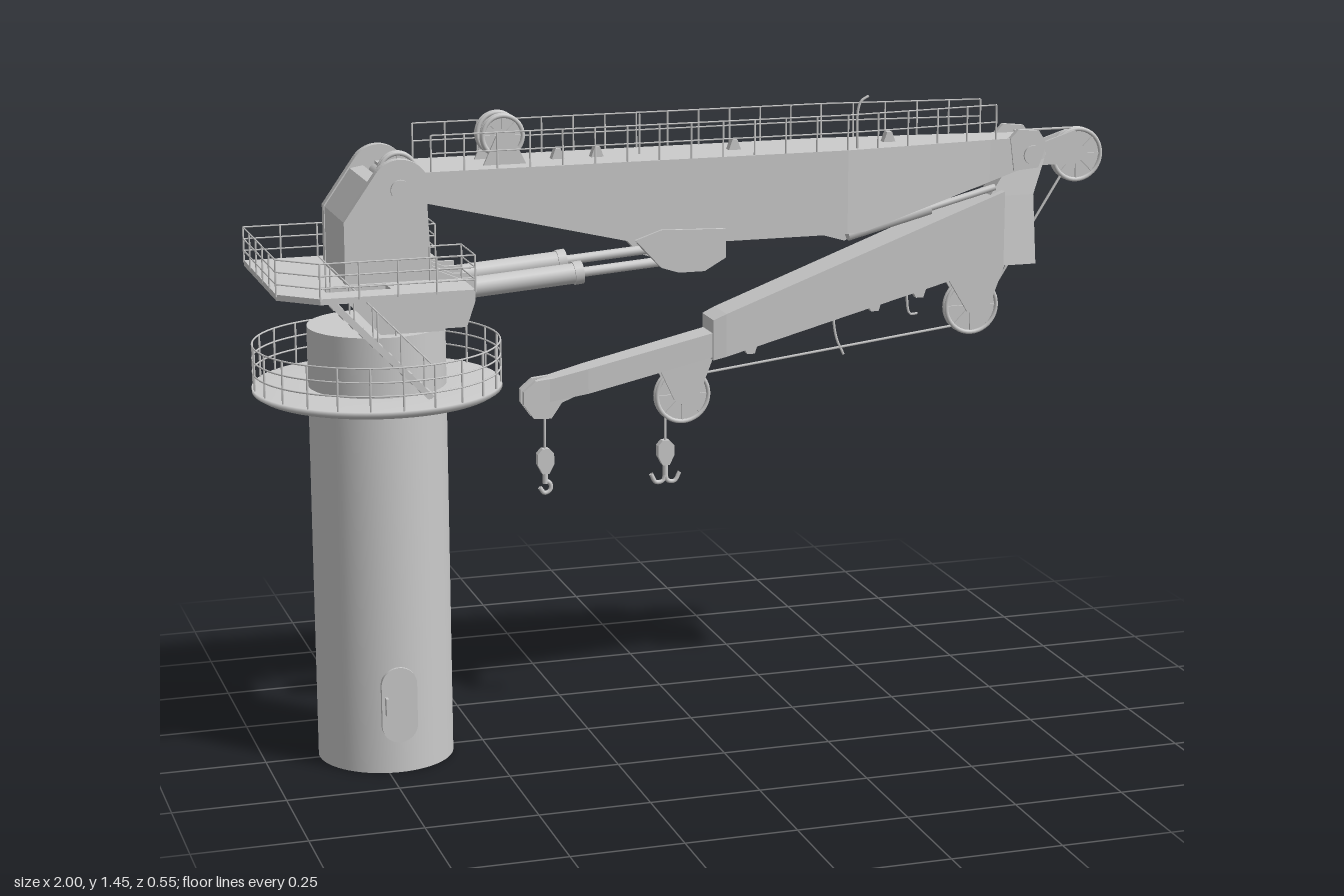
import * as THREE from 'three';

const mat = new THREE.MeshStandardMaterial({ color: 0xcccccc });
const flat = new THREE.MeshStandardMaterial({ color: 0xcccccc, flatShading: true });
const thin = new THREE.MeshStandardMaterial({ color: 0xcccccc, side: THREE.DoubleSide });
const V = (x, y, z) => new THREE.Vector3(x, y, z);
const PX = -0.725; // pedestal axis

export function createModel() {
  const model = new THREE.Group();
  const add = (name, geo, m = mat, parent = model) => {
    const mesh = new THREE.Mesh(geo, m);
    mesh.name = name;
    parent.add(mesh);
    return mesh;
  };
  const group = (name) => {
    const g = new THREE.Group();
    g.name = name;
    model.add(g);
    return g;
  };
  // Round bar between two points
  const bar = (name, a, b, r, parent = model, sides = 6) => {
    const mesh = add(name, new THREE.CylinderGeometry(r, r, a.distanceTo(b), sides), mat, parent);
    mesh.position.copy(a).add(b).multiplyScalar(0.5);
    mesh.quaternion.setFromUnitVectors(V(0, 1, 0), b.clone().sub(a).normalize());
    return mesh;
  };
  // Side-profile plate between z0 and z1
  const plate = (name, pts, z0, z1, parent = model) => {
    const shape = Array.isArray(pts) ? new THREE.Shape(pts.map((p) => new THREE.Vector2(...p))) : pts;
    const geo = new THREE.ExtrudeGeometry(shape, { depth: z1 - z0, bevelEnabled: false, curveSegments: 16 });
    return add(name, geo.translate(0, 0, z0), flat, parent);
  };
  const disc = (name, x, y, z, r, w, parent = model) => {
    const mesh = add(name, new THREE.CylinderGeometry(r, r, w, 32).rotateX(Math.PI / 2), mat, parent);
    mesh.position.set(x, y, z);
    return mesh;
  };
  // Solid skinned over four-cornered sections
  const loft = (name, rings) => {
    const pos = [];
    const quad = (a, b, c, d) => [a, b, c, a, c, d].forEach((p) => pos.push(...p));
    for (let s = 0; s < rings.length - 1; s++)
      for (let i = 0; i < 4; i++) {
        const j = (i + 1) % 4;
        quad(rings[s][i], rings[s][j], rings[s + 1][j], rings[s + 1][i]);
      }
    quad(...rings[rings.length - 1]);
    quad(...[...rings[0]].reverse());
    const geo = new THREE.BufferGeometry();
    geo.setAttribute('position', new THREE.Float32BufferAttribute(pos, 3));
    geo.computeVertexNormals();
    return add(name, geo, flat);
  };
  const ringX = ([x, b, t, h]) => [[x, b, -h], [x, t, -h], [x, t, h], [x, b, h]];
  const ringY = ([y, x0, x1, h]) => [[x0, y, h], [x1, y, h], [x1, y, -h], [x0, y, -h]];
  // Railing along a path of floor points
  const railing = (name, pts, h, gap, heights = [1, 0.67, 0.34]) => {
    const g = group(name);
    for (let i = 0; i < pts.length - 1; i++) {
      const [a, b] = [pts[i], pts[i + 1]];
      heights.forEach((k) => bar('rail', a.clone().setY(a.y + h * k), b.clone().setY(b.y + h * k), 0.0018, g));
      const n = Math.max(1, Math.round(a.distanceTo(b) / gap));
      for (let k = 0; k <= n; k++) {
        const p = a.clone().lerp(b, k / n);
        bar('post', p, p.clone().setY(p.y + h), 0.0022, g);
      }
    }
  };
  // Spoked rope sheave
  const sheave = (name, x, y, z, r, w = 0.022) => {
    const g = group(name);
    g.position.set(x, y, z);
    disc('web', 0, 0, 0, r * 0.9, w * 0.3, g);
    for (const s of [-1, 1]) add('rim', new THREE.TorusGeometry(r - 0.005, 0.005, 8, 40), mat, g).position.z = s * w * 0.3;
    disc('hub', 0, 0, 0, r * 0.22, w * 1.4, g);
    for (let i = 0; i < 8; i++) {
      const spoke = add('spoke', new THREE.BoxGeometry(r * 0.85, 0.005, w * 0.7).translate(r * 0.45, 0, 0), mat, g);
      spoke.rotation.z = (i * Math.PI) / 4;
    }
  };

  // Pedestal: open-bottomed column with closed top
  const profile = [[0.152, 0], [0.152, 0.99]].map((p) => new THREE.Vector2(...p));
  add('pedestal', new THREE.LatheGeometry(profile, 64), thin).position.x = PX;
  add('pedestalTop', new THREE.CircleGeometry(0.152, 64).rotateX(-Math.PI / 2), thin).position.set(PX, 0.99, 0);

  // Access door
  const doorShape = new THREE.Shape();
  doorShape.absarc(0, 0.205, 0.04, 0, Math.PI).absarc(0, 0.112, 0.04, Math.PI, 2 * Math.PI);
  plate('door', doorShape, 0.14, 0.158).position.x = PX;
  add('doorHandle', new THREE.BoxGeometry(0.006, 0.04, 0.02)).position.set(PX - 0.03, 0.16, 0.163);

  // Round lower walkway
  const deck = [[0.152, 0.838], [0.262, 0.838], [0.275, 0.846], [0.275, 0.856], [0.152, 0.856]];
  add('ringDeck', new THREE.LatheGeometry(deck.map((p) => new THREE.Vector2(...p)), 64), thin).position.x = PX;
  const ringRail = group('ringRailing');
  ringRail.position.x = PX;
  for (const y of [0.89, 0.92, 0.951])
    add('rail', new THREE.TorusGeometry(0.272, 0.002, 6, 72).rotateX(Math.PI / 2), mat, ringRail).position.y = y;
  for (let i = 0; i < 24; i++) {
    const [c, s] = [Math.cos((i * Math.PI) / 12) * 0.272, Math.sin((i * Math.PI) / 12) * 0.272];
    bar('post', V(c, 0.855, s), V(c, 0.951, s), 0.0025, ringRail);
  }

  // Upper U-shaped platform with stair opening
  const outline = [[-0.975, -0.215], [-0.56, -0.215], [-0.56, -0.125], [-0.63, -0.125], [-0.63, 0.125],
    [-0.56, 0.125], [-0.56, 0.25], [-0.895, 0.25], [-0.975, 0.175]];
  const upper = new THREE.Shape(outline.map(([x, z]) => new THREE.Vector2(x, -z)));
  upper.holes.push(new THREE.Path([[-0.87, -0.13], [-0.87, -0.187], [-0.73, -0.187], [-0.73, -0.13]].map((p) => new THREE.Vector2(...p))));
  const upperGeo = new THREE.ExtrudeGeometry(upper, { depth: 0.013, bevelEnabled: false });
  add('upperPlatform', upperGeo.rotateX(-Math.PI / 2).translate(0, 1.092, 0), flat);
  const edge = [3, 2, 1, 0, 8, 7, 6, 5, 4].map((i) => V(outline[i][0], 1.1, outline[i][1]));
  railing('upperRailing', edge, 0.08, 0.085);

  // Stair between the two platforms
  const stair = group('stair');
  for (const z of [0.135, 0.183]) {
    const str = add('stringer', new THREE.BoxGeometry(0.335, 0.014, 0.004), flat, stair);
    str.position.set(-0.76, 0.978, z);
    str.rotation.z = -Math.atan2(0.24, 0.23);
    bar('handrail', V(-0.875, 1.175, z), V(-0.645, 0.935, z), 0.002, stair);
    for (let i = 0; i < 5; i++) {
      const [x, y] = [-0.86 + i * 0.05, 1.082 - i * 0.052];
      bar('post', V(x, y, z), V(x, y + 0.075, z), 0.002, stair);
    }
  }
  for (let i = 0; i < 11; i++)
    add('tread', new THREE.BoxGeometry(0.022, 0.003, 0.048), mat, stair).position.set(-0.865 + i * 0.021, 1.087 - i * 0.0218, 0.159);

  // Slewing tower: cheeks, back housing, cylinder lugs
  const cheek = new THREE.Shape();
  cheek.moveTo(-0.74, 0.99).lineTo(-0.6, 0.99).lineTo(-0.625, 1.12).lineTo(-0.632, 1.275);
  cheek.absarc(-0.69, 1.305, 0.065, -0.48, 2.55).lineTo(-0.815, 1.24).lineTo(-0.815, 1.07);
  const housing = [[-0.74, 0.99], [-0.6, 0.99], [-0.615, 1.08], [-0.725, 1.1], [-0.725, 1.325], [-0.755, 1.32], [-0.813, 1.238], [-0.813, 1.07]];
  plate('towerHousing', housing, -0.098, 0.098);
  const lug = [[-0.62, 0.992], [-0.545, 0.992], [-0.525, 1.05], [-0.525, 1.1], [-0.56, 1.1], [-0.63, 1.13]];
  for (const s of [-1, 1]) {
    plate('towerCheek', cheek, s * 0.109 - 0.011, s * 0.109 + 0.011);
    disc('pivotCap', -0.69, 1.305, s * 0.121, 0.022, 0.012);
    for (const z of [0.042, 0.1]) plate('cylinderLug', lug, s * z - 0.005, s * z + 0.005);
  }
  disc('boomPivot', -0.69, 1.305, 0, 0.025, 0.22);
  sheave('towerSheave', -0.67, 1.325, 0, 0.045);

  // Main boom
  loft('mainBoom', [[-0.7, 1.285, 1.335, 0.093], [-0.64, 1.27, 1.335, 0.093], [-0.12, 1.145, 1.335, 0.093],
    [0.34, 1.145, 1.335, 0.093], [0.385, 1.147, 1.335, 0.088], [0.7, 1.238, 1.335, 0.052],
    [0.8, 1.268, 1.335, 0.045], [0.84, 1.285, 1.318, 0.042]].map(ringX));
  const bracket = [[-0.16, 1.16], [-0.1, 1.095], [-0.06, 1.082], [0, 1.082], [0.05, 1.11], [0.05, 1.175], [-0.1, 1.18]];
  const path = (s) => [V(-0.615, 1.335, s * 0.09), V(0.34, 1.335, s * 0.09), V(0.715, 1.335, s * 0.048)];
  for (const s of [-1, 1]) {
    plate('boomBracket', bracket, s * 0.085 - 0.016, s * 0.085 + 0.016);
    railing('boomRailing', path(s), 0.079, 0.075, [1, 0.5]);
    plate('boomTipFork', [[0.75, 1.335], [0.77, 1.355], [0.82, 1.35], [0.84, 1.32], [0.82, 1.265], [0.76, 1.26]], s * 0.045 - 0.007, s * 0.045 + 0.007);
    // Lifting cylinder
    const z = s * 0.07;
    bar('liftBarrel', V(-0.55, 1.07, z), V(-0.28, 1.09, z), 0.023, model, 20);
    bar('liftCollar', V(-0.295, 1.089, z), V(-0.275, 1.091, z), 0.026, model, 20);
    bar('liftRod', V(-0.28, 1.09, z), V(-0.06, 1.106, z), 0.011, model, 16);
    // Jib cylinder
    const zj = s * 0.035;
    bar('jibBarrel', V(0.36, 1.132, zj), V(0.56, 1.182, zj), 0.015, model, 16);
    bar('jibRod', V(0.56, 1.182, zj), V(0.72, 1.222, zj), 0.008, model, 12);
    plate('jibCylinderLug', [[0.29, 1.15], [0.31, 1.13], [0.36, 1.115], [0.385, 1.135], [0.39, 1.155]], zj - 0.02, zj - 0.014);
    // Winch sheave on the boom
    sheave('boomSheave', -0.44, 1.395, s * 0.024, 0.05, 0.018);
    plate('sheaveMount', [[-0.49, 1.33], [-0.39, 1.33], [-0.425, 1.405], [-0.455, 1.405]], s * 0.042 - 0.003, s * 0.042 + 0.003);
  }
  // Rope guides and mast on the boom top
  for (const x of [-0.31, -0.22, 0.1, 0.47])
    plate('ropeGuide', [[x - 0.015, 1.333], [x + 0.015, 1.333], [x + 0.006, 1.358], [x - 0.006, 1.358]], -0.01, 0.01);
  const mast = new THREE.CatmullRomCurve3([V(0.37, 1.335, 0.07), V(0.37, 1.42, 0.07), V(0.378, 1.442, 0.07), V(0.395, 1.452, 0.07)]);
  add('boomMast', new THREE.TubeGeometry(mast, 16, 0.003, 6));
  bar('boomPost', V(-0.12, 1.335, 0), V(-0.12, 1.425, 0), 0.002);

  // Folded jib with telescopic inner section
  loft('jibOuter', [[0.04, 0.862, 0.955, 0.042], [0.07, 0.869, 0.968, 0.045], [0.62, 1.015, 1.17, 0.05], [0.74, 1.04, 1.213, 0.05]].map(ringX));
  loft('jibInner', [[-0.36, 0.785, 0.835, 0.02], [-0.25, 0.803, 0.86, 0.03], [0.06, 0.872, 0.928, 0.035]].map(ringX));
  loft('jibHead', [[1.04, 0.66, 0.82, 0.05], [1.2, 0.71, 0.818, 0.032], [1.27, 0.76, 0.845, 0.022], [1.315, 0.79, 0.86, 0.016]].map(ringY));
  disc('jibPivot', 0.805, 1.295, 0, 0.022, 0.115);
  for (const s of [-1, 1]) {
    const z = s * 0.016;
    plate('tipCheek', [[-0.3, 0.845], [-0.37, 0.838], [-0.398, 0.815], [-0.398, 0.785], [-0.375, 0.752], [-0.335, 0.75], [-0.31, 0.785], [-0.26, 0.805]], z - 0.006, z + 0.006);
    plate('headSheaveArm', [[0.81, 1.295], [0.84, 1.315], [0.925, 1.342], [0.955, 1.285], [0.925, 1.262], [0.83, 1.265]], z - 0.003, z + 0.003);
    plate('kneeSheaveMount', [[0.61, 1.02], [0.76, 1.045], [0.72, 0.94], [0.69, 0.92], [0.665, 0.93]], z - 0.003, z + 0.003);
    plate('hookSheaveMount', [[-0.08, 0.845], [0.05, 0.872], [0.01, 0.77], [-0.02, 0.755], [-0.045, 0.77]], z - 0.003, z + 0.003);
  }
  disc('tipSheave', -0.353, 0.79, 0, 0.038, 0.024);
  sheave('headSheave', 0.936, 1.283, 0, 0.064);
  sheave('kneeSheave', 0.68, 0.94, 0, 0.067);
  sheave('hookSheave', -0.022, 0.778, 0, 0.066);

  // Running ropes and guide arms
  bar('lowerRope', V(-0.01, 0.82, 0), V(0.64, 0.895, 0), 0.003);
  bar('headRope', V(0.9, 1.235, 0), V(0.735, 0.975, 0), 0.003);
  bar('topRope', V(0.78, 1.345, 0), V(0.92, 1.345, 0), 0.003);
  for (const [x, y] of [[0.34, 0.935], [0.52, 0.98]])
    add('ropeArm', new THREE.TubeGeometry(new THREE.CatmullRomCurve3([V(x, y + 0.01, 0), V(x + 0.01, y - 0.05, 0), V(x + 0.028, y - 0.09 + (x > 0.5 ? 0.04 : 0), 0)]), 10, 0.003, 6));
  for (const [x, y] of [[0.14, 0.885], [0.44, 0.965], [0.55, 0.99]])
    plate('jibLug', [[x - 0.02, y], [x - 0.008, y - 0.022], [x + 0.01, y - 0.022], [x + 0.02, y + 0.01]], -0.008, 0.008);

  // Hook blocks: single hook at the tip, double hook inboard
  const hookBlock = (name, x, top, y, arms) => {
    const g = group(name);
    g.position.set(x, y, 0);
    bar('rope', V(0, 0.03, 0), V(0, top - y, 0), 0.003, g);
    plate('block', [[-0.008, -0.026], [0.008, -0.026], [0.019, -0.005], [0.019, 0.02], [0.008, 0.032], [-0.008, 0.032], [-0.019, 0.02], [-0.019, -0.005]], -0.009, 0.009, g);
    bar('shank', V(0, -0.02, 0), V(0, -0.05, 0), 0.006, g, 10);
    for (const s of arms) {
      const pts = arms.length > 1
        ? [V(0, -0.048, 0), V(s * 0.006, -0.064, 0), V(s * 0.022, -0.066, 0), V(s * 0.034, -0.046, 0)]
        : [V(0, -0.042, 0), V(0.012, -0.052, 0), V(0.011, -0.066, 0), V(-0.002, -0.072, 0), V(-0.013, -0.058, 0)];
      add('hook', new THREE.TubeGeometry(new THREE.CatmullRomCurve3(pts), 16, 0.005, 8), thin, g);
    }
  };
  hookBlock('tipHook', -0.345, 0.76, 0.645, [1]);
  hookBlock('mainHook', -0.062, 0.76, 0.643, [-1, 1]);

  return model;
}
